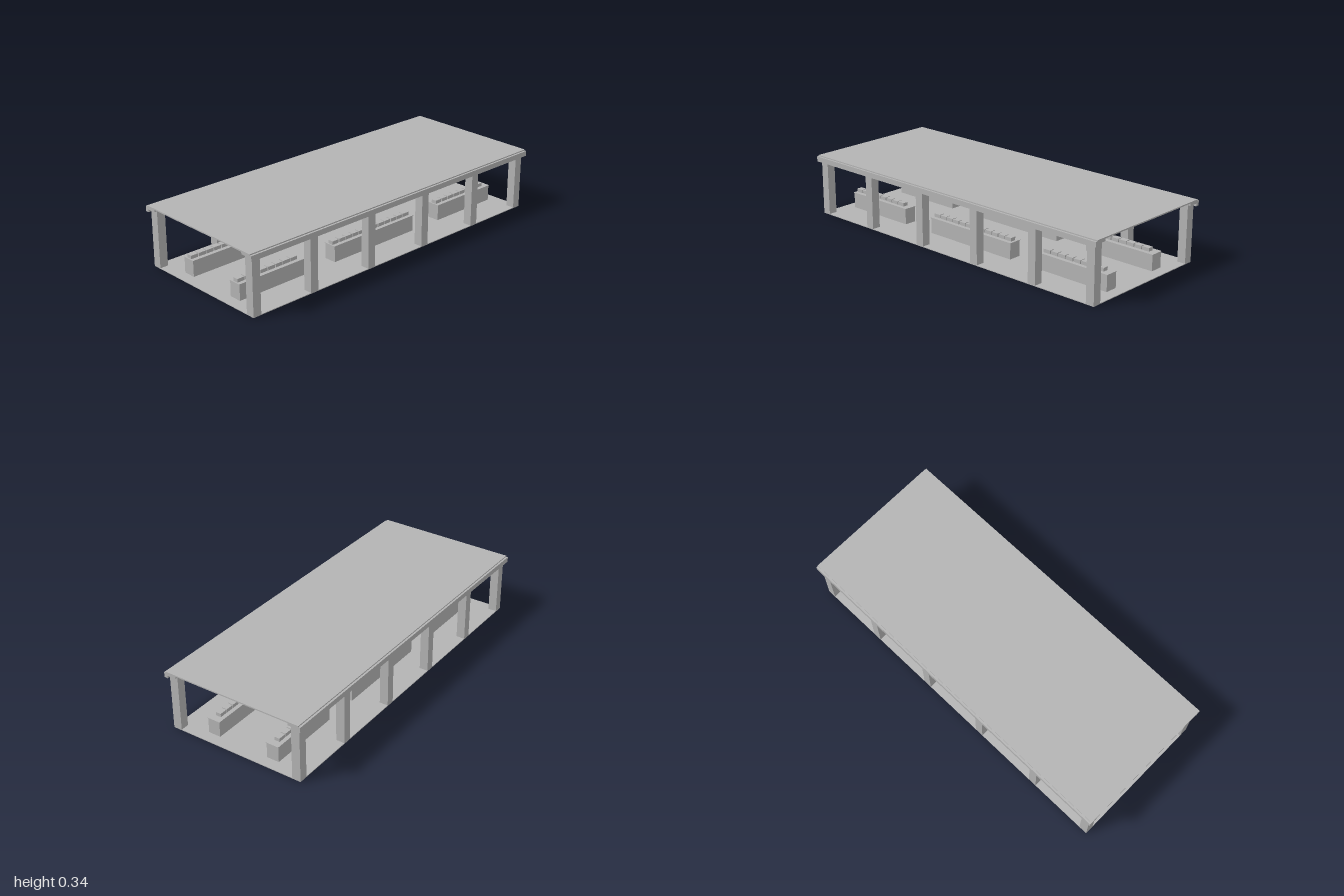
import * as THREE from 'three';

export function createModel() {
  const model = new THREE.Group();
  const grey = new THREE.MeshStandardMaterial({ color: 0xb3b3b3 });
  grey.name = 'concrete grey';

  // Box given by its minimum and maximum along each axis
  function box(name, x0, x1, y0, y1, z0, z1, parent = model) {
    const mesh = new THREE.Mesh(new THREE.BoxGeometry(x1 - x0, y1 - y0, z1 - z0), grey);
    mesh.position.set((x0 + x1) / 2, (y0 + y1) / 2, (z0 + z1) / 2);
    mesh.name = name;
    parent.add(mesh);
  }

  // Floor and roof slabs
  box('floor', -0.982, 0.982, 0, 0.004, -0.394, 0.394);
  box('roof', -1, 1, 0.334, 0.341, -0.402, 0.402);

  // Stall counters: start, end, number of goods boxes
  const counters = [[-0.923, -0.49, 8], [-0.293, 0.293, 12], [0.49, 0.923, 8]];

  for (const side of [1, -1]) {
    const mirrored = (name, x0, x1, y0, y1, za, zb, parent) =>
      box(name, x0, x1, y0, y1, Math.min(za * side, zb * side), Math.max(za * side, zb * side), parent);

    // Columns, the beam they carry and the outer fascia
    for (const x of [-0.958, -0.591, -0.197, 0.197, 0.591, 0.958]) {
      mirrored('column', x - 0.024, x + 0.024, 0, 0.321, 0.345, 0.394);
    }
    mirrored('beam', -1, 1, 0.321, 0.334, 0.341, 0.392);
    mirrored('fascia', -1, 1, 0.306, 0.335, 0.392, 0.413);

    // Counters with a thin top and a row of boxes
    for (const [start, end, count] of counters) {
      const counter = new THREE.Group();
      counter.name = 'counter';
      model.add(counter);
      mirrored('counterBody', start + 0.003, end - 0.003, 0.004, 0.091, 0.147, 0.218, counter);
      mirrored('counterTop', start, end, 0.091, 0.094, 0.144, 0.22, counter);
      const first = start + 0.007;
      const last = count === 12 ? end - 0.01 : end - 0.035;
      const pitch = (last - first) / count;
      for (let i = 0; i < count; i++) {
        const x = first + i * pitch;
        mirrored('goodsBox', x, x + pitch - 0.005, 0.094, 0.113, 0.167, 0.198, counter);
      }
    }
  }
  return model;
}
